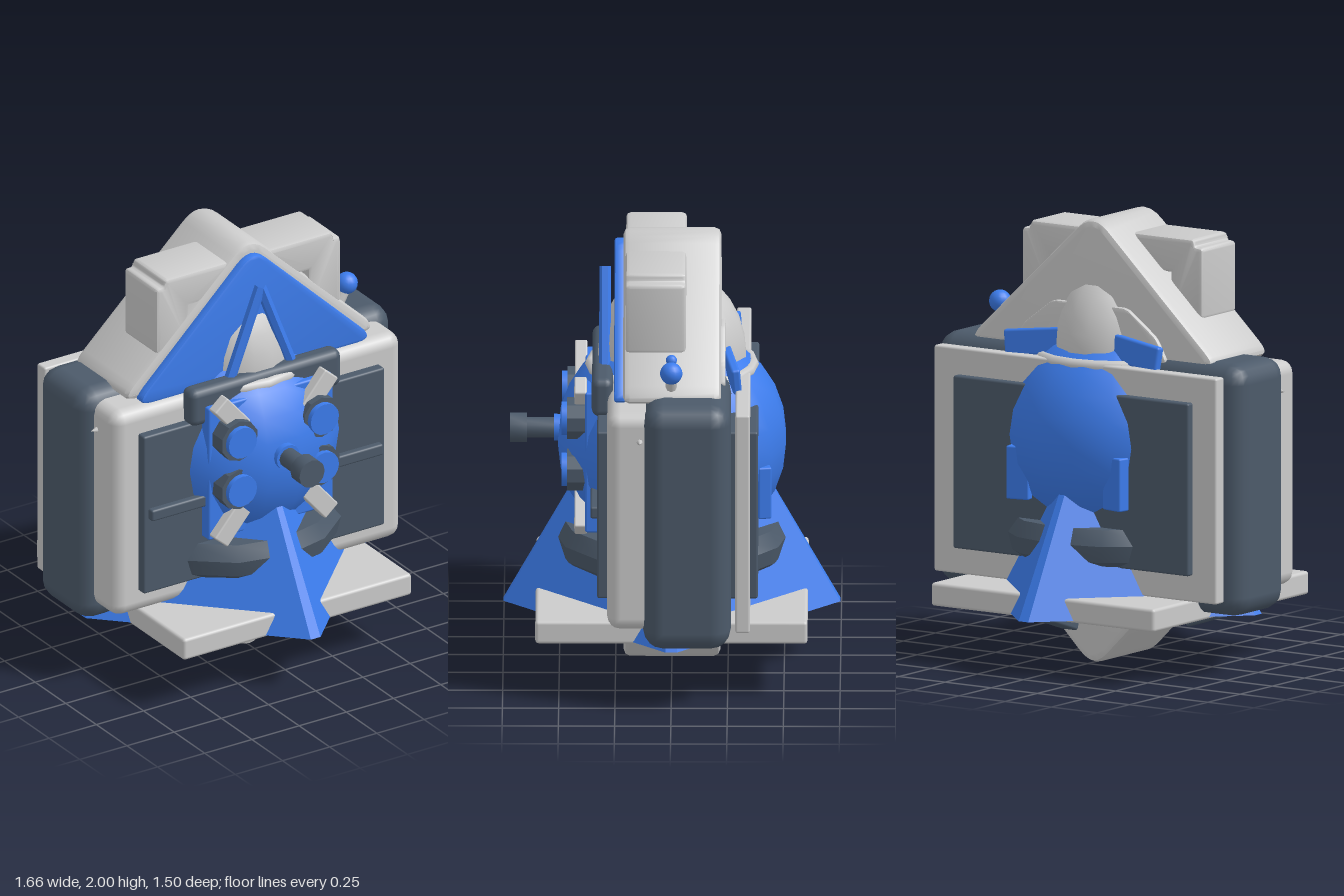
import * as THREE from 'three';
import { RoundedBoxGeometry } from 'three/addons/geometries/RoundedBoxGeometry.js';
import { toCreasedNormals } from 'three/addons/utils/BufferGeometryUtils.js';

const grey = new THREE.MeshStandardMaterial({ color: 0xcccccc });
const dark = new THREE.MeshStandardMaterial({ color: 0x4c5a6a });
const blue = new THREE.MeshStandardMaterial({ color: 0x3c7cec });

export function createModel() {
  const model = new THREE.Group();

  const add = (name, geometry, material, x = 0, y = 0, z = 0) => {
    const mesh = new THREE.Mesh(geometry, material);
    mesh.name = name;
    mesh.position.set(x, y, z);
    model.add(mesh);
    return mesh;
  };
  // Rounded block given by its limits on each axis
  const block = (name, material, [x0, x1], [y0, y1], [z0, z1], r = 0.01) =>
    add(name, new RoundedBoxGeometry(x1 - x0, y1 - y0, z1 - z0, 2, r), material,
      (x0 + x1) / 2, (y0 + y1) / 2, (z0 + z1) / 2);
  const creased = (g) => toCreasedNormals(g, 0.6);
  // Outline with softened corners, extruded along z with a bevel
  const roundedShape = (points, d) => {
    const shape = new THREE.Shape();
    const v = points.map((p) => new THREE.Vector2(...p));
    v.forEach((c, i) => {
      const prev = v[(i + v.length - 1) % v.length], next = v[(i + 1) % v.length];
      const a = c.clone().add(prev.clone().sub(c).setLength(d));
      const b = c.clone().add(next.clone().sub(c).setLength(d));
      if (i) shape.lineTo(a.x, a.y); else shape.moveTo(a.x, a.y);
      shape.quadraticCurveTo(c.x, c.y, b.x, b.y);
    });
    shape.closePath();
    return shape;
  };
  const prism = (name, material, shape, z0, z1, bevel) => {
    const g = new THREE.ExtrudeGeometry(shape, {
      depth: z1 - z0 - 2 * bevel, bevelThickness: bevel, bevelSize: bevel,
      bevelOffset: -bevel, bevelSegments: 2, curveSegments: 6,
    });
    return add(name, creased(g), material, 0, 0, z0 + bevel);
  };
  const disc = (name, material, r, z0, z1, x, y, sides = 16) => {
    const g = new THREE.CylinderGeometry(r, r, z1 - z0, sides).rotateX(Math.PI / 2);
    return add(name, creased(g), material, x, y, (z0 + z1) / 2);
  };

  // Main body: dark core, front shell, back plate and inset panels
  block('bodyCore', dark, [-0.83, 0.83], [0.28, 1.42], [-0.265, 0.125], 0.09);
  block('frontShell', grey, [-0.765, 0.765], [0.36, 1.375], [0.05, 0.285], 0.06);
  block('frontPanel', dark, [-0.638, 0.638], [0.475, 1.255], [0.27, 0.33]);
  block('frontBar', dark, [-0.613, 0.613], [0.84, 0.895], [0.32, 0.36]);
  block('backPlate', grey, [-0.765, 0.765], [0.355, 1.375], [-0.35, -0.285]);
  block('backPanel', dark, [-0.638, 0.638], [0.475, 1.255], [-0.385, -0.25]);

  // Gabled top and the matching point beneath the base
  prism('roof', grey, roundedShape([[-0.7, 1.38], [0.7, 1.38], [0, 2.04]], 0.12), -0.22, 0.215, 0.03);
  prism('roofFace', blue, roundedShape([[-0.64, 1.37], [0.64, 1.37], [0, 1.985]], 0.1), 0.2, 0.255, 0.012);
  prism('lowerPoint', grey, roundedShape([[0, -0.04], [0.42, 0.38], [-0.42, 0.38]], 0.11), -0.215, 0.215, 0.03);
  prism('lowerPointFace', blue, roundedShape([[0, 0.03], [0.33, 0.35], [-0.33, 0.35]], 0.09), 0.2, 0.255, 0.012);

  // Hollow side towers with a recessed panel
  for (const s of [-1, 1]) {
    const frame = roundedShape([[0.1, 1.57], [0.49, 1.57], [0.49, 1.895], [0.445, 1.895],
      [0.445, 1.93], [0.1, 1.93]], 0.02);
    const hole = new THREE.Path();
    hole.moveTo(0.16, 1.63).lineTo(0.16, 1.77).lineTo(0.315, 1.77).lineTo(0.315, 1.63).closePath();
    frame.holes.push(hole);
    const tower = prism('towerFrame', grey, frame, -0.065, 0.205, 0.02);
    if (s < 0) tower.geometry.rotateY(Math.PI).translate(0, 0, 0.23);
    block('towerPanel', dark, [s * 0.235 - 0.1, s * 0.235 + 0.1], [1.6, 1.8], [0.02, 0.12], 0.005);
    // lower part of the towers down to the roof slope
    block('towerFoot', grey, [s * 0.4 - 0.085, s * 0.4 + 0.085], [1.56, 1.72], [-0.063, 0.203], 0.02);
  }

  // Square base plate
  block('basePlate', grey, [-0.605, 0.605], [0.25, 0.355], [-0.605, 0.605], 0.015);

  // Four-sided skirt with narrow blunted corners on the axes
  const skirt = new THREE.CylinderGeometry(0.223, 0.75, 0.94, 8, 1, false, Math.PI / 8);
  const p = skirt.attributes.position;
  for (let i = 0; i < p.count; i++) {
    const r = Math.hypot(p.getX(i), p.getZ(i));
    if (r < 0.01) continue;
    const t = Math.atan2(p.getX(i), p.getZ(i));
    const axis = Math.round(t / (Math.PI / 2)) * Math.PI / 2;
    const a = axis + Math.sign(t - axis) * 0.034;
    p.setXYZ(i, r * Math.sin(a), p.getY(i), r * Math.cos(a));
  }
  const skirtGeo = skirt.toNonIndexed();
  skirtGeo.computeVertexNormals();
  add('skirt', skirtGeo, blue, 0, 0.73, 0);

  // Round parts running through the body
  add('core', new THREE.SphereGeometry(0.515, 18, 14), blue, 0, 1.02, 0);
  add('dome', new THREE.SphereGeometry(1, 18, 14), grey, 0, 1.4, 0).scale.set(0.28, 0.41, 0.335);
  const collar = add('collar', new THREE.TorusGeometry(0.36, 0.027, 8, 20), grey, 0, 1.365, 0);
  collar.rotation.x = Math.PI / 2;
  const beltProfile = [[0, 0.475], [0.47, 0.475], [0.51, 0.505], [0.525, 0.58], [0.49, 0.65], [0, 0.65]]
    .map((q) => new THREE.Vector2(...q));
  add('belt', creased(new THREE.LatheGeometry(beltProfile, 14)), dark);

  // Flaps behind the roof
  prism('backFlange', grey, roundedShape([[-0.42, 1.39], [0.42, 1.39], [0.36, 1.5], [0.2, 1.62],
    [-0.2, 1.62], [-0.36, 1.5]], 0.03), -0.24, -0.2, 0.008);
  for (const s of [-1, 1]) {
    const flap = block('backFlap', blue, [-0.16, 0.16], [-0.06, 0.06], [-0.02, 0.02], 0.012);
    flap.position.set(s * 0.26, 1.43, -0.265);
    flap.rotation.set(0.1, s * 0.15, s * -0.12);
    const wedge = block('backWedge', blue, [-0.055, 0.055], [-0.12, 0.12], [-0.03, 0.03], 0.008);
    wedge.position.set(s * 0.26, 0.86, -0.405);
    wedge.rotation.y = s * 0.2;
  }

  // Leaning struts on the roof face
  for (const s of [-1, 1]) {
    const path = new THREE.LineCurve3(new THREE.Vector3(0, 1.82, 0.297), new THREE.Vector3(s * 0.175, 1.37, 0.297));
    add('strut', creased(new THREE.TubeGeometry(path, 1, 0.026, 6)), blue);
  }

  // Front instrument plate with strap and crossed bars
  block('strap', dark, [-0.4, 0.4], [1.24, 1.42], [0.26, 0.355], 0.035);
  block('instrumentPlate', blue, [-0.33, 0.33], [0.68, 1.335], [0.32, 0.385]);
  for (const s of [-1, 1]) {
    const bar = block('crossBar', grey, [-0.45, 0.45], [-0.045, 0.045], [-0.028, 0.028], 0.008);
    bar.position.set(0, 1.02, 0.405);
    bar.rotation.z = s * 0.86;
  }
  for (const x of [-0.217, 0.217]) {
    for (const y of [1.18, 0.94]) {
      disc('knobRim', dark, 0.098, 0.37, 0.465, x, y, 10);
      disc('knobCap', blue, 0.075, 0.4, 0.49, x, y, 16);
    }
  }

  // Spindle
  disc('spindleNeck', blue, 0.06, 0.46, 0.525, 0, 1.065);
  disc('spindleShaft', dark, 0.046, 0.5, 0.67, 0, 1.065, 12);
  disc('spindleHead', dark, 0.067, 0.645, 0.72, 0, 1.065, 12);

  // Ball lever, side button and shell studs
  add('leverBall', new THREE.SphereGeometry(0.05, 16, 12), blue, 0.65, 1.535, 0);
  const stem = new THREE.LineCurve3(new THREE.Vector3(0.58, 1.4, 0), new THREE.Vector3(0.645, 1.52, 0));
  add('leverStem', new THREE.TubeGeometry(stem, 1, 0.026, 8), grey);
  add('sideButton', new THREE.SphereGeometry(0.026, 12, 8), blue, 0.515, 1.55, 0);
  for (const s of [-1, 1]) {
    add('stud', new THREE.ConeGeometry(0.018, 0.04, 8).rotateZ(-s * Math.PI / 2), grey, s * 0.775, 1.25, 0.14);
  }

  // Dark socket and four sloping feet under the base
  const socketProfile = [[0.16, 0.24], [0.2, 0.165], [0.24, 0.175], [0.3, 0.26]]
    .map((q) => new THREE.Vector2(...q));
  const socketMaterial = dark.clone();
  socketMaterial.side = THREE.DoubleSide;
  add('socket', creased(new THREE.LatheGeometry(socketProfile, 20)), socketMaterial);
  for (let i = 0; i < 4; i++) {
    const foot = new THREE.Group();
    foot.name = 'foot';
    const pad = new THREE.Mesh(new RoundedBoxGeometry(0.09, 0.05, 0.19, 2, 0.012), dark);
    pad.position.set(0, 0.225, 0.47);
    pad.rotation.x = -0.32;
    const heel = new THREE.Mesh(new RoundedBoxGeometry(0.08, 0.06, 0.12, 2, 0.012), dark);
    heel.position.set(0, 0.235, 0.34);
    heel.rotation.x = -0.32;
    foot.add(pad, heel);
    foot.rotation.y = i * Math.PI / 2;
    model.add(foot);
  }
  return model;
}
